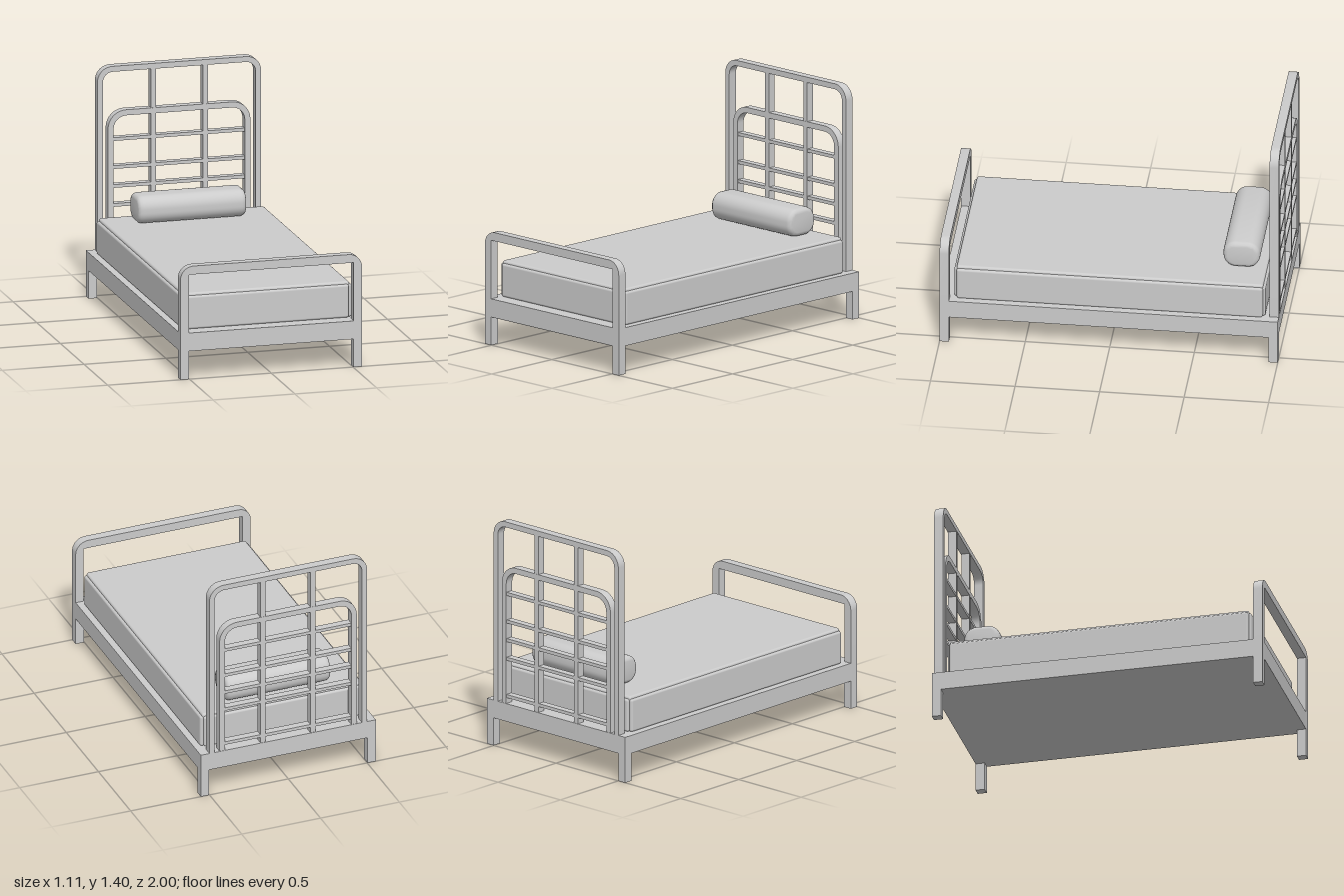
import * as THREE from 'three';
import { toCreasedNormals } from 'three/addons/utils/BufferGeometryUtils.js';
import { RoundedBoxGeometry } from 'three/addons/geometries/RoundedBoxGeometry.js';

const BASE_TOP = 0.28;
const DEPTH = 0.055;

export function createModel() {
  const bed = new THREE.Group();
  bed.name = 'bed';
  const material = new THREE.MeshStandardMaterial({ color: 0xcccccc });

  const add = (name, geometry, x = 0, y = 0, z = 0, parent = bed) => {
    const mesh = new THREE.Mesh(geometry, material);
    mesh.name = name;
    mesh.position.set(x, y, z);
    parent.add(mesh);
    return mesh;
  };

  // Box given by its lower and upper bounds
  const addBox = (name, [x0, x1], [y0, y1], [z0, z1], parent = bed) =>
    add(name, new THREE.BoxGeometry(x1 - x0, y1 - y0, z1 - z0),
      (x0 + x1) / 2, (y0 + y1) / 2, (z0 + z1) / 2, parent);

  // Upside-down U frame standing on the base, with rounded upper corners
  const archGeometry = (half, top, width, outerR, innerR, depth) => {
    const s = new THREE.Shape();
    const hi = half - width, ti = top - width;
    s.moveTo(half, BASE_TOP);
    s.lineTo(half, top - outerR);
    s.absarc(half - outerR, top - outerR, outerR, 0, Math.PI / 2, false);
    s.absarc(-half + outerR, top - outerR, outerR, Math.PI / 2, Math.PI, false);
    s.lineTo(-half, BASE_TOP);
    s.lineTo(-hi, BASE_TOP);
    s.lineTo(-hi, ti - innerR);
    if (innerR > 0) {
      s.absarc(-hi + innerR, ti - innerR, innerR, Math.PI, Math.PI / 2, true);
      s.absarc(hi - innerR, ti - innerR, innerR, Math.PI / 2, 0, true);
    } else {
      s.lineTo(hi, ti);
    }
    s.lineTo(hi, BASE_TOP);
    return toCreasedNormals(new THREE.ExtrudeGeometry(s,
      { depth, bevelEnabled: false, curveSegments: 5 }), 0.5);
  };

  // Base platform and four legs
  addBox('base', [-0.555, 0.555], [0.17, BASE_TOP], [-1, 1]);
  for (const sx of [-1, 1]) for (const sz of [-1, 1]) {
    add('leg', new THREE.BoxGeometry(0.053, 0.17, DEPTH), sx * 0.5285, 0.085, sz * (1 - DEPTH / 2));
  }

  // Footboard
  add('footboard', archGeometry(0.555, 0.685, 0.051, 0.08, 0, DEPTH), 0, 0, 1 - DEPTH);

  // Headboard: two nested arches, uprights and crossbars
  const headboard = new THREE.Group();
  headboard.name = 'headboard';
  bed.add(headboard);
  add('outerArch', archGeometry(0.5, 1.4, 0.033, 0.09, 0.06, DEPTH), 0, 0, -1, headboard);
  add('innerArch', archGeometry(0.435, 1.13, 0.034, 0.11, 0.078, DEPTH - 0.004), 0, 0, -0.998, headboard);
  for (const x of [-0.157, 0.16]) {
    addBox('upright', [x - 0.015, x + 0.015], [BASE_TOP, 1.37], [-0.997, -0.948], headboard);
  }
  for (const y of [0.325, 0.555, 0.67, 0.785, 0.955]) {
    addBox('crossbar', [-0.402, 0.402], [y - 0.01, y + 0.01], [-0.995, -0.95], headboard);
  }

  // Mattress: soft body with raised side, end and top panels
  const mattress = new THREE.Group();
  mattress.name = 'mattress';
  bed.add(mattress);
  const panel = (name, w, y0, y1, d) =>
    add(name, new RoundedBoxGeometry(w, y1 - y0, d, 3, 0.014), 0, (y0 + y1) / 2, 0, mattress);
  panel('mattressSides', 1.04, 0.28, 0.481, 1.81);
  panel('mattressEnds', 1.0, 0.28, 0.481, 1.84);
  panel('mattressTop', 1.012, 0.285, 0.497, 1.812);

  // Pillow: rounded cross-section run along x with soft ends
  const halfZ = 0.083, halfY = 0.058, r = 0.048, bevel = 0.025, len = 0.6;
  const section = new THREE.Shape();
  section.absarc(halfZ - r, halfY - r, r, 0, Math.PI / 2, false);
  section.absarc(-halfZ + r, halfY - r, r, Math.PI / 2, Math.PI, false);
  section.absarc(-halfZ + r, -halfY + r, r, Math.PI, Math.PI * 1.5, false);
  section.absarc(halfZ - r, -halfY + r, r, Math.PI * 1.5, Math.PI * 2, false);
  section.closePath();
  const pillow = new THREE.ExtrudeGeometry(section, {
    depth: len, curveSegments: 5, bevelEnabled: true,
    bevelThickness: 0.03, bevelSize: bevel, bevelSegments: 3,
  });
  pillow.translate(0, 0, -len / 2);
  pillow.rotateY(Math.PI / 2);
  add('pillow', toCreasedNormals(pillow, 0.7), 0, 0.582, -0.757);

  return bed;
}
